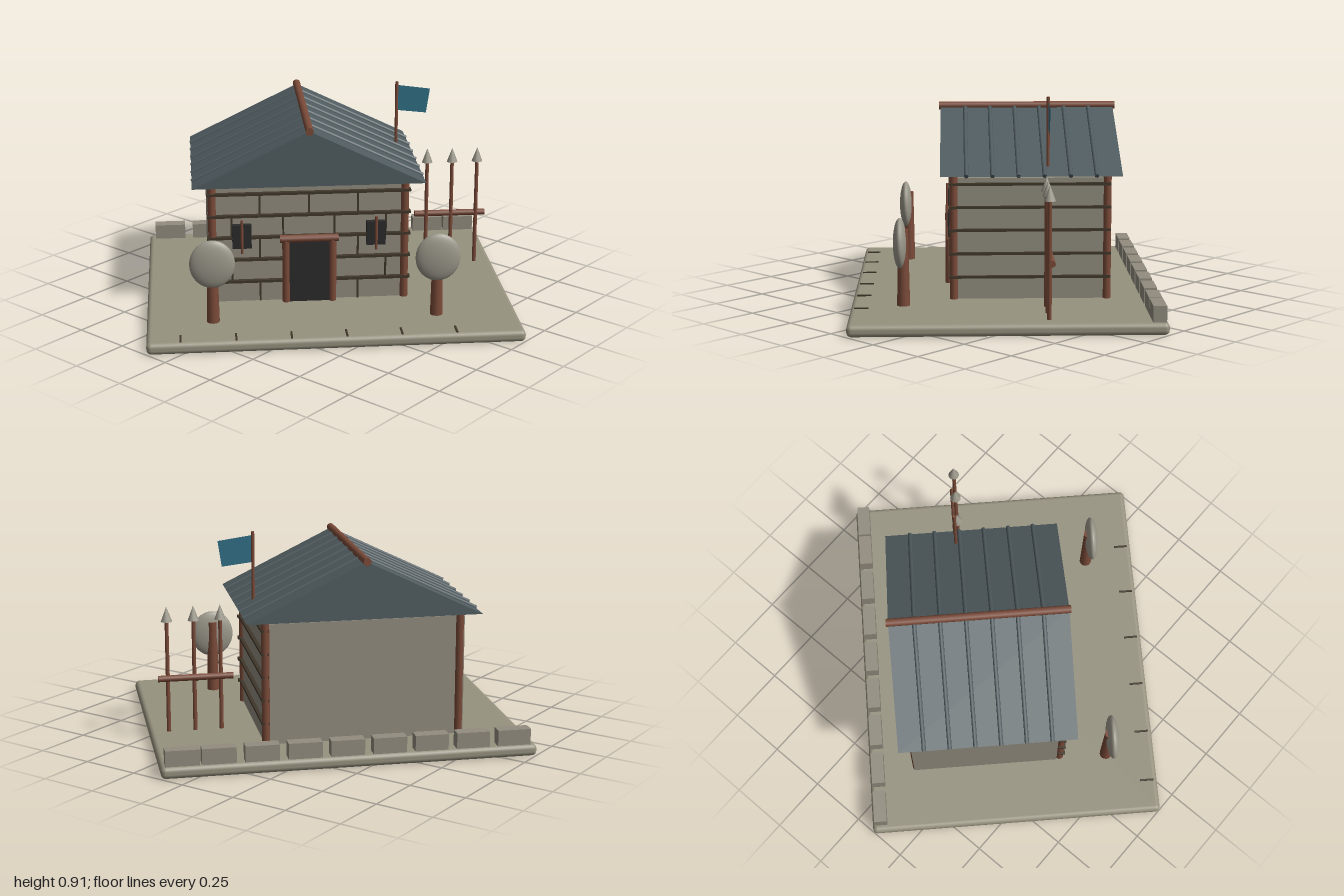
import * as THREE from 'three';
import { RoundedBoxGeometry } from 'three/addons/geometries/RoundedBoxGeometry.js';

export function createModel() {
  const model = new THREE.Group();
  model.name = 'stoneHouse';
  // The plot stands diagonally; everything is built square and turned.
  model.rotation.y = Math.PI / 4;

  const mat = (name, color, side = THREE.FrontSide) => {
    const m = new THREE.MeshStandardMaterial({ color, side });
    m.name = name;
    return m;
  };
  const ground = mat('ground stone', 0x97927f);
  const stone = mat('wall stone', 0x928d7f);
  const pale = mat('pale grey', 0x9c988b);
  const mortar = mat('dark mortar', 0x40372a);
  const wood = mat('red brown wood', 0x7a4a38);
  const slate = mat('slate roof', 0x505c60);
  const dark = mat('dark opening', 0x2b2b2c);
  const teal = mat('teal cloth', 0x2f6f85, THREE.DoubleSide);

  const add = (name, geo, material, x = 0, y = 0, z = 0, parent = model) => {
    const m = new THREE.Mesh(geo, material);
    m.name = name;
    m.position.set(x, y, z);
    parent.add(m);
    return m;
  };
  const box = (name, material, w, h, d, x, y, z) =>
    add(name, new THREE.BoxGeometry(w, h, d), material, x, y, z);
  // Round rod between two points
  const rod = (name, material, a, b, r, rTop = r, sides = 12) => {
    const p = new THREE.Vector3(...a), q = new THREE.Vector3(...b);
    const dir = q.clone().sub(p);
    const m = add(name, new THREE.CylinderGeometry(rTop, r, dir.length(), sides), material);
    m.position.copy(p).add(q).multiplyScalar(0.5);
    m.quaternion.setFromUnitVectors(new THREE.Vector3(0, 1, 0), dir.normalize());
    return m;
  };

  const cx = -0.086;                 // centre line of the house
  const top = 0.05;                  // ground level
  const eave = 0.582, apex = 0.822;  // roof heights
  const roofHalf = 0.494, roofBack = -0.486, roofFront = 0.27;

  add('groundSlab', new RoundedBoxGeometry(1.566, 0.05, 1.284, 3, 0.02), ground, 0, 0.025, 0);

  // House body, with a plain plate on the left side
  const wallH = 0.515, wallY = top + wallH / 2;
  box('houseWalls', stone, 0.82, wallH, 0.64, cx + 0.005, wallY, -0.105);
  box('leftWall', stone, 0.02, wallH, 0.64, -0.505, wallY, -0.12);

  // Corner posts
  for (const x of [cx - 0.412, cx + 0.412])
    for (const z of [-0.43, 0.215])
      rod('cornerPost', wood, [x, top, z], [x, eave + 0.01, z], 0.017);

  // Courses on the front and right walls, with staggered joints in front
  const rows = [top, 0.145, 0.245, 0.345, 0.442, 0.54];
  rows.forEach((y, i) => {
    if (i > 0) {
      box('frontCourse', mortar, 0.87, 0.011, 0.03, cx, y, 0.22);
      box('rightCourse', mortar, 0.03, 0.011, 0.68, 0.329, y, -0.105);
    }
    if (i === rows.length - 1) return;
    const joints = i % 2 ? [-0.33, -0.11, 0.11, 0.33] : [-0.21, 0, 0.21];
    const h = rows[i + 1] - y;
    for (const j of joints)
      box('wallJoint', mortar, 0.008, h, 0.012, cx + j, y + h / 2, 0.216);
  });

  // Door with round frame
  box('door', dark, 0.19, 0.275, 0.03, cx, top + 0.1375, 0.225);
  for (const s of [-1, 1])
    rod('doorJamb', wood, [cx + s * 0.1, top, 0.235], [cx + s * 0.1, 0.335, 0.235], 0.016);
  rod('doorLintel', wood, [cx - 0.125, 0.337, 0.235], [cx + 0.125, 0.337, 0.235], 0.017);

  // Windows with a centre bar
  for (const s of [-1, 1]) {
    const x = cx + s * 0.287;
    box('window', dark, 0.082, 0.105, 0.03, x, 0.352, 0.225);
    rod('windowBar', wood, [x, 0.28, 0.244], [x, 0.43, 0.244], 0.006, 0.006, 8);
  }

  // Gabled roof prism
  const gable = new THREE.Shape();
  gable.moveTo(-roofHalf, eave);
  gable.lineTo(roofHalf, eave);
  gable.lineTo(0, apex);
  const roofGeo = new THREE.ExtrudeGeometry(gable, { depth: roofFront - roofBack, bevelEnabled: false });
  add('roof', roofGeo, slate, cx, 0, roofBack);

  // Raised seams down both slopes, and the ridge pole
  for (const s of [-1, 1])
    for (let i = 1; i <= 6; i++) {
      const z = roofBack + (roofFront - roofBack) * i / 7;
      rod('roofSeam', slate, [cx, apex, z], [cx + s * roofHalf, eave + 0.002, z], 0.009, 0.009, 8);
    }
  rod('ridgePole', wood, [cx, 0.823, -0.495], [cx, 0.823, 0.277], 0.017);

  // Flag on the right slope
  rod('flagPole', wood, [0.336, 0.6, -0.179], [0.336, 0.905, -0.179], 0.007);
  const cloth = new THREE.Shape();
  cloth.moveTo(0.338, 0.775);
  cloth.lineTo(0.468, 0.76);
  cloth.lineTo(0.484, 0.87);
  cloth.lineTo(0.338, 0.89);
  add('flag', new THREE.ShapeGeometry(cloth), teal, 0, 0, -0.179);

  // Two trees with flat oval crowns
  for (const x of [-0.505, 0.438]) {
    rod('treeTrunk', wood, [x, top, 0.424], [x, 0.37, 0.424], 0.027, 0.021);
    add('treeCrown', new THREE.SphereGeometry(1, 24, 16), pale, x, 0.312, 0.438)
      .scale.set(0.095, 0.105, 0.028);
  }

  // Spear rack beside the house
  for (const x of [0.477, 0.59, 0.703]) {
    rod('spearShaft', wood, [x, top, -0.166], [x, 0.54, -0.166], 0.009, 0.008);
    add('spearTip', new THREE.ConeGeometry(0.024, 0.064, 12), pale, x, 0.564, -0.166);
  }
  rod('spearRail', wood, [0.425, 0.285, -0.174], [0.745, 0.285, -0.174], 0.014);

  // Low row of blocks along the back edge
  for (let i = 0; i < 9; i++)
    box('borderBlock', stone, 0.14, 0.067, 0.055, Math.min(-0.685 + 0.176 * i, 0.695), top + 0.0335, -0.603);

  // Thin joints along the front edge of the slab
  for (let i = 0; i < 6; i++)
    box('pavingJoint', mortar, 0.008, 0.008, 0.06, -0.643 + 0.2276 * i, top + 0.001, 0.596);

  const root = new THREE.Group();
  root.name = 'houseOnPlot';
  root.add(model);
  return root;
}
